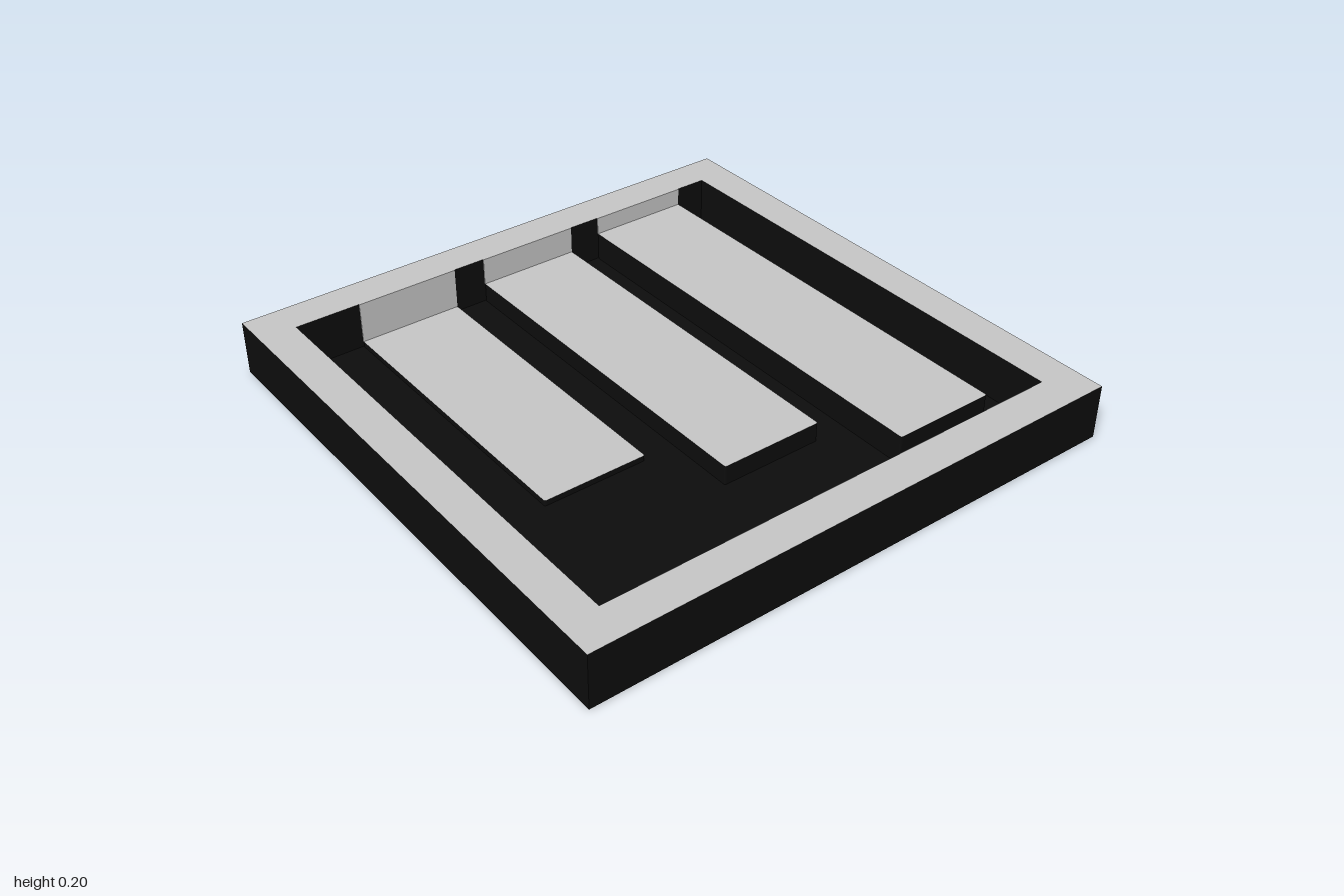
import * as THREE from 'three';

const black = new THREE.MeshStandardMaterial({ color: 0x0d0d0d });
black.name = 'black';
const grey = new THREE.MeshStandardMaterial({ color: 0xc7c7c7 });
grey.name = 'light grey';

const INNER = 0.867; // half width of the hollow
const TOP = 0.2;
const SKIN = 0.003; // thickness of painted faces

// Rounded rectangle outline
function roundedRect(x0, x1, y0, y1, r) {
  const s = new THREE.Shape();
  s.moveTo(x0 + r, y0);
  s.lineTo(x1 - r, y0);
  s.quadraticCurveTo(x1, y0, x1, y0 + r);
  s.lineTo(x1, y1 - r);
  s.quadraticCurveTo(x1, y1, x1 - r, y1);
  s.lineTo(x0 + r, y1);
  s.quadraticCurveTo(x0, y1, x0, y1 - r);
  s.lineTo(x0, y0 + r);
  s.quadraticCurveTo(x0, y0, x0 + r, y0);
  return s;
}

// Square ring outline
function ringShape() {
  const s = new THREE.Shape();
  s.moveTo(-1, -1).lineTo(1, -1).lineTo(1, 1).lineTo(-1, 1).closePath();
  const h = new THREE.Path();
  h.moveTo(-INNER, -INNER).lineTo(-INNER, INNER).lineTo(INNER, INNER).lineTo(INNER, -INNER).closePath();
  s.holes.push(h);
  return s;
}

// Lays a shape (x, -z) flat and extrudes it from y0 to y1
function slab(shape, y0, y1, materials, name) {
  const g = new THREE.ExtrudeGeometry(shape, { depth: y1 - y0, bevelEnabled: false, curveSegments: 5 });
  g.rotateX(-Math.PI / 2).translate(0, y0, 0);
  const m = new THREE.Mesh(g, materials);
  m.name = name;
  return m;
}

function box(x0, x1, y0, y1, z0, z1, material, name) {
  const g = new THREE.BoxGeometry(x1 - x0, y1 - y0, z1 - z0);
  g.translate((x0 + x1) / 2, (y0 + y1) / 2, (z0 + z1) / 2);
  const m = new THREE.Mesh(g, material);
  m.name = name;
  return m;
}

export function createModel() {
  const model = new THREE.Group();
  model.name = 'tray';

  // Tray floor, walls and pale rim
  model.add(box(-1, 1, SKIN, 0.03, -1, 1, black, 'floor'));
  model.add(slab(ringShape(), 0.03, TOP, [grey, black], 'rimWalls'));

  // Stepped bars with pale tops, and matching pale faces on the back wall
  const bars = [
    [-0.63, -0.25, 0.25, 0.05],
    [-0.13, 0.25, 0.5, 0.1],
    [0.37, 0.75, 0.75, 0.135],
  ];
  for (const [x0, x1, zEnd, y] of bars) {
    const outline = roundedRect(x0, x1, -zEnd, INNER, 0.008);
    model.add(slab(outline, 0.03, y, [grey, black], 'bar'));
    model.add(box(x0, x1, y, TOP, -INNER, -INNER + SKIN, grey, 'backWallPanel'));
  }

  // Paving on the underside: [x0, x1, z0, z1], mirrored front to back
  const paving = new THREE.Group();
  paving.name = 'undersidePaving';
  const tiles = [
    [0.48, 0.965, 0.77, 0.97], [-0.11, 0.38, 0.77, 0.97],
    [-0.4, -0.19, 0.77, 0.97], [-0.965, -0.475, 0.77, 0.97],
    [0.2, 0.68, 0.51, 0.71], [-0.43, 0.11, 0.51, 0.71], [-0.72, -0.52, 0.51, 0.71],
  ];
  // Tiles running along the two sides
  for (const s of [-1, 1]) {
    const outer = [0.77, 0.97].map((x) => x * s).sort((a, b) => a - b);
    const inner = [0.52, 0.72].map((x) => x * s).sort((a, b) => a - b);
    tiles.push([...outer, 0.275, 0.72], [...inner, 0.025, 0.46]);
    paving.add(slab(roundedRect(...outer, -0.22, 0.22, 0.05), 0, SKIN, grey, 'pavingTile'));
  }
  for (const [x0, x1, z0, z1] of tiles) {
    paving.add(slab(roundedRect(x0, x1, z0, z1, 0.05), 0, SKIN, grey, 'pavingTile'));
    paving.add(slab(roundedRect(x0, x1, -z1, -z0, 0.05), 0, SKIN, grey, 'pavingTile'));
  }
  model.add(paving);
  return model;
}
